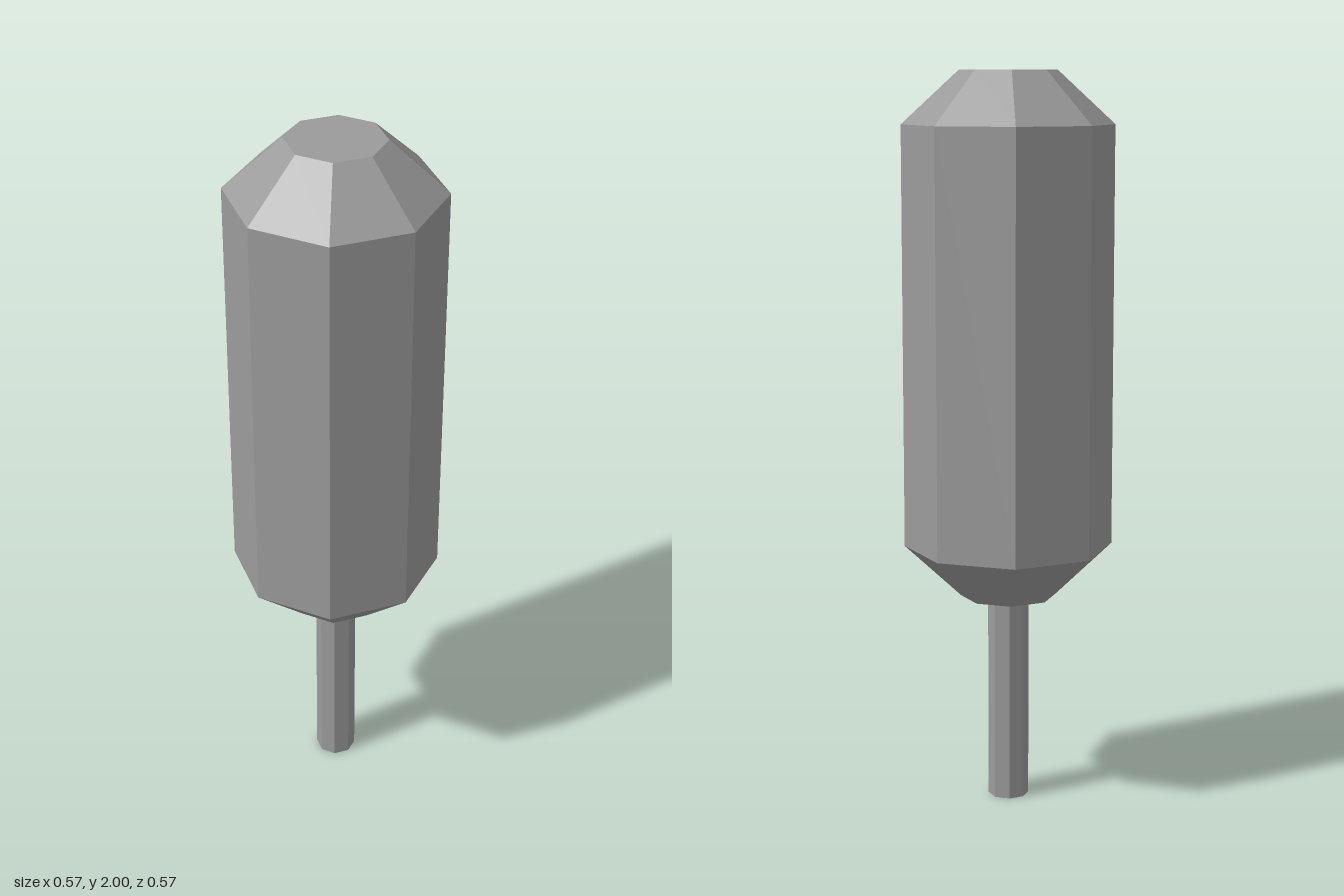
import * as THREE from 'three';

const SIDES = 8;

export function createModel() {
  const group = new THREE.Group();
  const material = new THREE.MeshStandardMaterial({ color: 0x9b9b9b, flatShading: true });

  const add = (name, geometry, y) => {
    const mesh = new THREE.Mesh(geometry, material);
    mesh.name = name;
    mesh.position.y = y;
    group.add(mesh);
  };

  // Thin octagonal stick
  const stickHeight = 0.574;
  add('stick', new THREE.CylinderGeometry(0.056, 0.056, stickHeight, SIDES), stickHeight / 2);

  // Octagonal body with chamfered ends, profile from bottom to top
  const profile = [
    [0, 0.574], [0.131, 0.574], [0.285, 0.716],
    [0.285, 1.858], [0.131, 2], [0, 2],
  ].map(([r, y]) => new THREE.Vector2(r, y));
  add('body', new THREE.LatheGeometry(profile, SIDES), 0);

  return group;
}
